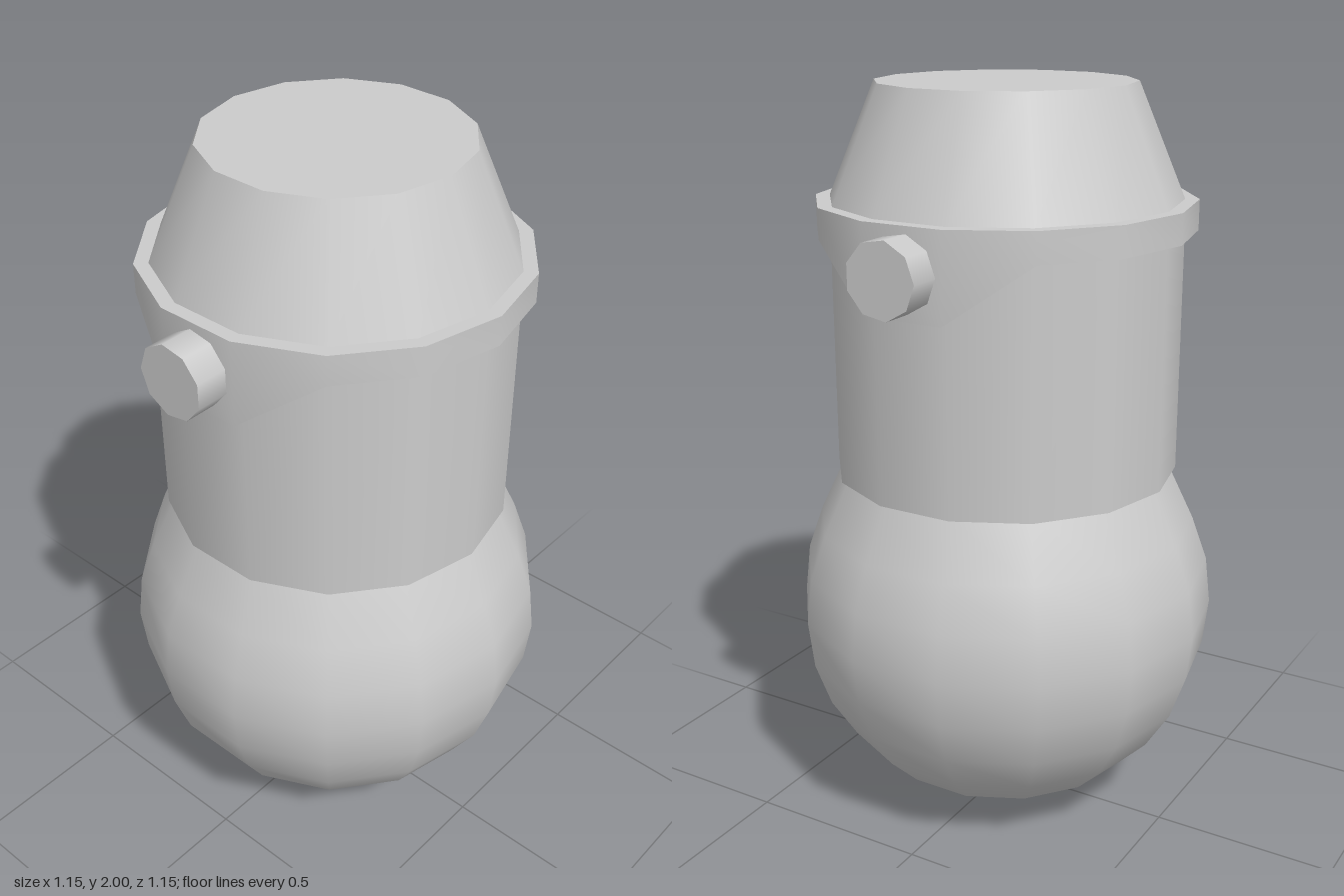
import * as THREE from 'three';
import { toCreasedNormals } from 'three/addons/utils/BufferGeometryUtils.js';

const SIDES = 14;

export function createModel() {
  const model = new THREE.Group();
  const material = new THREE.MeshStandardMaterial({ color: 0xcccccc });
  const add = (name, geometry, x = 0, y = 0, z = 0) => {
    const mesh = new THREE.Mesh(geometry, material);
    mesh.name = name;
    mesh.position.set(x, y, z);
    model.add(mesh);
    return mesh;
  };

  // Round bulb at the base, its upper rings running into the neck
  const R = 0.575;
  const profile = [];
  for (let i = 0; i <= 9; i++) {
    const a = -Math.PI / 2 + (i * Math.PI) / SIDES;
    profile.push(new THREE.Vector2(i === 0 ? 0 : R * Math.cos(a), 0.578 + R * Math.sin(a)));
  }
  profile.push(new THREE.Vector2(0.447, 0.978));
  add('bulb', new THREE.LatheGeometry(profile, SIDES));

  // Straight body and tapered top
  add('body', new THREE.CylinderGeometry(0.465, 0.465, 0.725, SIDES), 0, 1.3375);
  add('taperedTop', new THREE.CylinderGeometry(0.338, 0.465, 0.3, SIDES), 0, 1.85);

  // Collar whose lower edge drops into a tab on each side
  const ring = [[0.46, 1.625], [0.5, 1.625], [0.5, 1.705], [0.46, 1.705]];
  const collar = new THREE.LatheGeometry(ring.map(([r, y]) => new THREE.Vector2(r, y)), SIDES);
  const pos = collar.attributes.position;
  for (let i = 0; i < pos.count; i++) {
    const side = Math.abs(pos.getX(i)) > Math.abs(pos.getZ(i)) * 3;
    if (side && pos.getY(i) < 1.65) pos.setY(i, 1.475);
  }
  add('collar', toCreasedNormals(collar, 0.6));

  // Side pins, one on each tab
  for (const s of [1, -1]) {
    const pin = new THREE.CylinderGeometry(0.097, 0.097, 0.115, 9);
    pin.rotateY(Math.PI); // corner towards the back
    pin.rotateZ(Math.PI / 2);
    add(s > 0 ? 'leftPin' : 'rightPin', pin, s * 0.5175, 1.59, 0);
  }

  return model;
}
